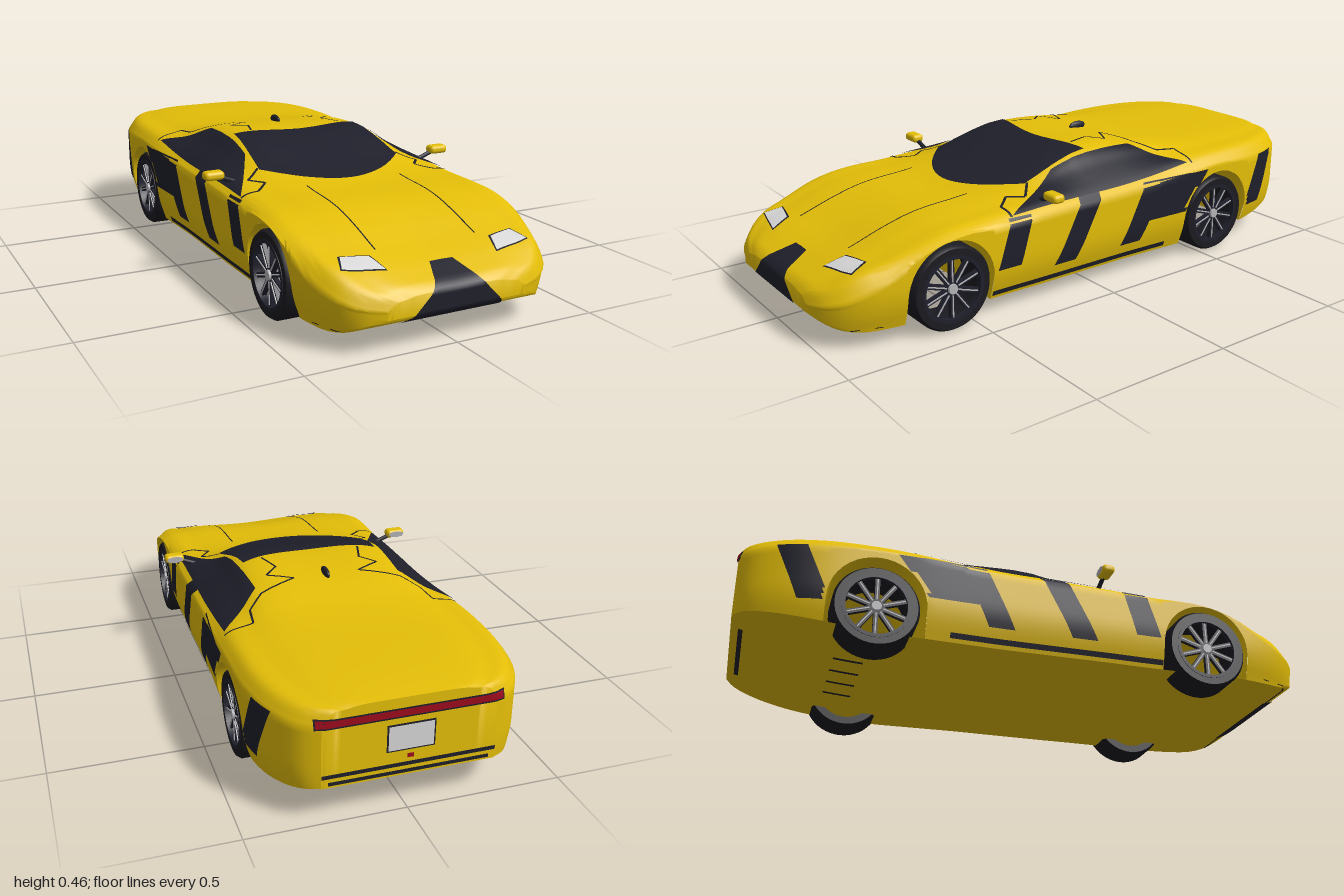
import * as THREE from 'three';
import { toCreasedNormals } from 'three/addons/utils/BufferGeometryUtils.js';
import { RoundedBoxGeometry } from 'three/addons/geometries/RoundedBoxGeometry.js';

const mat = (name, color) => Object.assign(new THREE.MeshStandardMaterial({ color }), { name });
const yellow = mat('yellow paint', 0xe4be08), dark = mat('dark trim', 0x1f1f2b);
const tyreBlack = mat('tyre black', 0x1a1a20), silver = mat('silver', 0xb4b4b8);
const lamp = mat('lamp glass', 0xd8d8d8), red = mat('tail red', 0x9c0a1c);

// Cross-section stations: z, half width, shoulder y, belt y, roof edge y, centre y
const stations = [
  [-1, .27, .325, .364, .376, .378], [-.985, .305, .325, .366, .378, .38],
  [-.96, .337, .325, .367, .38, .383], [-.88, .385, .328, .37, .385, .39],
  [-.75, .42, .33, .372, .39, .395], [-.56, .43, .335, .372, .394, .4],
  [-.42, .43, .33, .365, .403, .41], [-.28, .425, .325, .353, .424, .432],
  [-.13, .42, .318, .347, .437, .443], [0, .42, .315, .345, .435, .441],
  [.12, .42, .315, .343, .404, .411], [.25, .42, .312, .338, .363, .375],
  [.36, .418, .31, .332, .344, .346], [.59, .42, .305, .32, .325, .321],
  [.7, .42, .275, .292, .298, .289], [.8, .41, .225, .258, .264, .253],
  [.89, .385, .18, .23, .233, .225], [.95, .345, .155, .194, .205, .2],
  [.985, .29, .14, .172, .186, .184], [1, .24, .135, .157, .168, .168],
];
const sections = new THREE.CubicInterpolant(stations.map(s => s[0]), stations.flatMap(s => s.slice(1)), 5);
const arches = [{ z: .59, r: .157, y: .145 }, { z: -.56, r: .162, y: .148 }];

const floorY = z => .055 + .065 * (Math.max(0, -z - .4) / .6) ** 2 + .055 * (Math.max(0, z - .82) / .18) ** 3;
const sideX = (w, y) => w - .03 * Math.min(1, Math.max(0, (.2 - y) / .14)) ** 2;
const archAt = z => arches.find(a => Math.abs(z - a.z) < a.r);

// Outer skin ring at z; mid tells which side of an arch edge the ring serves
function skinRing(z, mid) {
  const [w, shoulder, belt, edge, top] = sections.evaluate(z);
  const arch = archAt(mid);
  const low = arch ? arch.y + Math.sqrt(Math.max(0, arch.r ** 2 - (z - arch.z) ** 2)) : floorY(z);
  const side = [];
  for (let j = 0; j < 10; j++) {
    const y = THREE.MathUtils.lerp(low, shoulder, j / 10);
    side.push(new THREE.Vector3(sideX(w, y), y, z));
  }
  const half = [[w, shoulder], [w - .038, belt], [w * .79 - .019, (belt + edge) / 2], [w * .58, edge]];
  const over = new THREE.CatmullRomCurve3([...half, [0, top], ...half.map(([x, y]) => [-x, y]).reverse()]
    .map(([x, y]) => new THREE.Vector3(x, y, z))).getPoints(40);
  return [...side, ...over, ...side.map(p => new THREE.Vector3(-p.x, p.y, z)).reverse()];
}

// Straight strip across the car at height y
function crossRing(z, y) {
  const x = sideX(sections.evaluate(z)[0], y);
  return [new THREE.Vector3(-x, y, z), new THREE.Vector3(x, y, z)];
}

function bodyGeometry() {
  const zs = new Set();
  for (let i = 0; i <= 50; i++) zs.add(+Math.sin(Math.PI * (i / 50 - .5)).toFixed(4));
  for (const a of arches)
    for (let k = 0; k <= 20; k++) zs.add(+(a.z + a.r * Math.cos(Math.PI * k / 20)).toFixed(4));
  const list = [...zs].sort((a, b) => a - b), pos = [];
  const bridge = (A, B) => {
    for (let j = 0; j < A.length - 1; j++)
      for (const p of [A[j], A[j + 1], B[j + 1], A[j], B[j + 1], B[j]]) pos.push(p.x, p.y, p.z);
  };
  for (let i = 0; i < list.length - 1; i++) {
    const [a, b] = [list[i], list[i + 1]], mid = (a + b) / 2;
    bridge(skinRing(a, mid), skinRing(b, mid));
    bridge(crossRing(a, floorY(a)), crossRing(b, floorY(b)));
  }
  // Wheel arch linings
  for (const a of arches) {
    const path = [crossRing(a.z - a.r, floorY(a.z - a.r))];
    for (let k = 0; k <= 20; k++) {
      const t = Math.PI * k / 20;
      path.push(crossRing(a.z - a.r * Math.cos(t), a.y + a.r * Math.sin(t)));
    }
    path.push(crossRing(a.z + a.r, floorY(a.z + a.r)));
    for (let k = 0; k < path.length - 1; k++) bridge(path[k], path[k + 1]);
  }
  // Flat nose and tail faces
  const flat = ring => ring.map(p => new THREE.Vector3(p.x, floorY(p.z), p.z));
  const tail = skinRing(-1, -1), nose = skinRing(1, 1);
  bridge(flat(tail), tail);
  bridge(nose, flat(nose));
  const g = new THREE.BufferGeometry();
  g.setAttribute('position', new THREE.Float32BufferAttribute(pos, 3));
  return toCreasedNormals(g, 1.1);
}

// Bilinear patch through four corners
const quad = (a, b, c, d) => (u, v) => [0, 1].map(i =>
  (a[i] * (1 - u) + b[i] * u) * (1 - v) + (d[i] * (1 - u) + c[i] * u) * v);
const rect = (w, y0, y1) => quad([-w, y0], [w, y0], [w, y1], [-w, y1]);

// How a 2D patch is projected on the body: ray origin and direction
const projections = {
  left: ([z, y]) => [[2, y, z], [-1, 0, 0]], right: ([z, y]) => [[-2, y, z], [1, 0, 0]],
  top: ([x, z]) => [[x, 2, z], [0, -1, 0]], under: ([x, z]) => [[x, -2, z], [0, 1, 0]],
  front: ([x, y]) => [[x, y, 2], [0, 0, -1]], back: ([x, y]) => [[x, y, -2], [0, 0, 1]],
};

export function createModel() {
  const car = new THREE.Group();
  car.name = 'sportsCar';
  const add = (name, geometry, material, parent = car) => {
    const m = new THREE.Mesh(geometry, material);
    m.name = name;
    parent.add(m);
    return m;
  };
  const body = add('bodyShell', bodyGeometry(), yellow);
  const caster = new THREE.Raycaster();

  // Thin painted patch laid over the body surface
  function decal(name, material, view, patch, nu = 8, nv = 8, lift = .003) {
    const pos = [], hits = [], index = [];
    for (let j = 0; j <= nv; j++) for (let i = 0; i <= nu; i++) {
      const [o, d] = projections[view](patch(i / nu, j / nv));
      caster.set(new THREE.Vector3(...o), new THREE.Vector3(...d));
      const hit = caster.intersectObject(body)[0];
      hits.push(hit ? hit.point.clone().addScaledVector(hit.face.normal, lift) : null);
      pos.push(...(hit ? hits.at(-1).toArray() : [0, 0, 0]));
    }
    const dir = new THREE.Vector3(...projections[view]([0, 0])[1]);
    for (let j = 0; j < nv; j++) for (let i = 0; i < nu; i++) {
      const a = j * (nu + 1) + i, b = a + 1, d = a + nu + 1, c = d + 1;
      if (![a, b, c, d].every(k => hits[k])) continue;
      const n = hits[c].clone().sub(hits[a]).cross(hits[d].clone().sub(hits[b]));
      index.push(...(n.dot(dir) < 0 ? [a, b, c, a, c, d] : [a, c, b, a, d, c]));
    }
    const g = new THREE.BufferGeometry();
    g.setAttribute('position', new THREE.Float32BufferAttribute(pos, 3));
    g.setIndex(index);
    g.computeVertexNormals();
    add(name, g, material);
  }

  // Thin dark line along (x, z) points, seen from the top
  function trace(name, points, width) {
    for (let i = 0; i < points.length - 1; i++) {
      const [[x0, z0], [x1, z1]] = [points[i], points[i + 1]];
      const k = width / 2 / Math.hypot(x1 - x0, z1 - z0), nx = (z0 - z1) * k, nz = (x1 - x0) * k;
      decal(name, dark, 'top', quad([x0 - nx, z0 - nz], [x0 + nx, z0 + nz], [x1 + nx, z1 + nz], [x1 - nx, z1 - nz]), 1, 8);
    }
  }

  // Windscreen, nose panel and lower lip
  decal('windscreen', dark, 'top', (u, v) => {
    const s = 2 * u - 1;
    return [s * (.245 + .025 * v), THREE.MathUtils.lerp(-.025 - .04 * s * s, .36 - .15 * s * s, v)];
  }, 18, 14);
  decal('nosePanel', dark, 'front', quad([-.195, .064], [.195, .064], [.04, .222], [-.04, .222]), 12, 24);
  decal('frontLip', dark, 'front', rect(.38, .066, .069), 24, 1);

  // Tail: light bar, plate and vents
  decal('tailLightFrame', dark, 'back', rect(.29, .314, .346), 20, 3);
  decal('tailLightBar', red, 'back', rect(.285, .32, .342), 20, 2, .005);
  decal('plateFrame', dark, 'back', rect(.075, .205, .295), 2, 2);
  decal('plate', lamp, 'back', rect(.07, .21, .29), 2, 2, .005);
  decal('fogLight', red, 'back', rect(.01, .178, .192), 1, 1);
  decal('tailVent', dark, 'back', rect(.27, .152, .165), 16, 1);
  decal('tailVent', dark, 'back', rect(.25, .128, .14), 16, 1);
  decal('tailVent', dark, 'under', rect(.19, -.975, -.96), 8, 1);
  for (const x of [-.15, -.05, .05, .15])
    decal('floorSlot', dark, 'under', quad([x - .007, -.66], [x + .007, -.66], [x + .007, -.56], [x - .007, -.56]), 1, 3);

  // Slanted side stripes as (z, y) corners, then sill line
  const stripes = [
    [[.42, .16], [.33, .16], [.285, .32], [.37, .32]],
    [[.19, .12], [.1, .12], [-.01, .335], [.08, .335]],
    [[-.1, .12], [-.19, .12], [-.29, .33], [-.2, .33]],
    [[-.22, .19], [-.395, .19], [-.5, .33], [-.27, .33]],
    [[-.71, .14], [-.81, .14], [-.885, .33], [-.79, .33]],
    [[.43, .068], [-.4, .068], [-.4, .086], [.43, .086]],
  ];
  // Jagged window outlines as (x, z) points
  const rearOutline = [[.405, -.44], [.31, -.44], [.3, -.36], [.245, -.3], [.116, -.245], [.2, -.2], [.153, -.15], [.18, -.06]];
  const frontOutline = [[.272, .2], [.33, .25], [.29, .3], [.34, .355], [.4, .355]];
  for (const s of [1, -1]) {
    const side = s > 0 ? 'left' : 'right';
    stripes.forEach((c, i) => decal(i < 5 ? 'sideStripe' : 'sillLine', dark, side, quad(...c), 10, i < 5 ? 10 : 2));
    decal('sideWindow', dark, 'top', quad([s * .272, .1], [s * .398, .35], [s * .4, -.42], [s * .254, -.26]), 14, 22, .004);
    trace('windowOutline', rearOutline.map(([x, z]) => [s * x, z]), .007);
    trace('windowOutline', frontOutline.map(([x, z]) => [s * x, z]), .009);
    const light = grow => quad([s * (.325 + grow), .885 + grow / 2], [s * (.302 + grow), .83 - grow],
      [s * (.215 - grow), .85 - grow], [s * (.195 - grow), .91 + grow]);
    decal('headlightFrame', dark, 'top', light(.005));
    decal('headlight', lamp, 'top', light(0), 8, 8, .005);
    decal('bonnetLine', dark, 'top', quad([s * .1755, .38], [s * .1805, .38], [s * .1805, .82], [s * .1755, .82]), 1, 20);

    // Door mirror
    const mirror = new THREE.Group();
    mirror.name = side + 'Mirror';
    car.add(mirror);
    const arm = new THREE.LineCurve3(new THREE.Vector3(s * .355, .34, .215), new THREE.Vector3(s * .425, .367, .215));
    add('mirrorArm', new THREE.TubeGeometry(arm, 1, .008, 8), dark, mirror);
    add('mirrorShell', new RoundedBoxGeometry(.07, .03, .045, 4, .013), yellow, mirror).position.set(s * .44, .373, .217);
    const glass = add('mirrorGlass', new THREE.CircleGeometry(1, 20), silver, mirror);
    glass.scale.set(.03, .012, 1);
    glass.rotation.y = Math.PI;
    glass.position.set(s * .44, .373, .193);
  }

  // Roof antenna
  const fin = add('antenna', new THREE.SphereGeometry(1, 12, 8), dark);
  fin.scale.set(.01, .018, .038);
  fin.position.set(0, .442, -.235);

  // Wheels with open ten-spoke rims; local y is the axle, outside is +y
  const ring = pts => toCreasedNormals(new THREE.LatheGeometry(pts.map(p => new THREE.Vector2(...p)), 48), .6);
  const tyreGeo = ring([[.107, -.06], [.134, -.06], [.142, -.048], [.142, .048], [.134, .06], [.107, .06], [.107, -.06]]);
  const rimGeo = ring([[.1, .04], [.112, .04], [.112, .062], [.1, .062], [.1, .04]]);
  const hubGeo = new THREE.CylinderGeometry(.016, .02, .03, 20);
  const spokeGeo = new THREE.BoxGeometry(.09, .014, .016);
  const trimGeo = new THREE.BoxGeometry(.075, .004, .004);
  for (const a of arches) for (const s of [1, -1]) {
    const wheel = new THREE.Group();
    wheel.name = (a.z > 0 ? 'front' : 'rear') + 'Wheel';
    wheel.position.set(s * .36, .142, a.z);
    wheel.rotation.z = -s * Math.PI / 2;
    car.add(wheel);
    add('tyre', tyreGeo, tyreBlack, wheel);
    add('rim', rimGeo, dark, wheel);
    add('hub', hubGeo, silver, wheel).position.y = .045;
    for (let k = 0; k < 10; k++) {
      const spoke = new THREE.Group();
      spoke.name = 'spoke';
      spoke.rotation.y = k * Math.PI / 5;
      wheel.add(spoke);
      add('spokeBar', spokeGeo, dark, spoke).position.set(.06, .045, 0);
      add('spokeTrim', trimGeo, silver, spoke).position.set(.06, .053, 0);
    }
  }
  return car;
}
